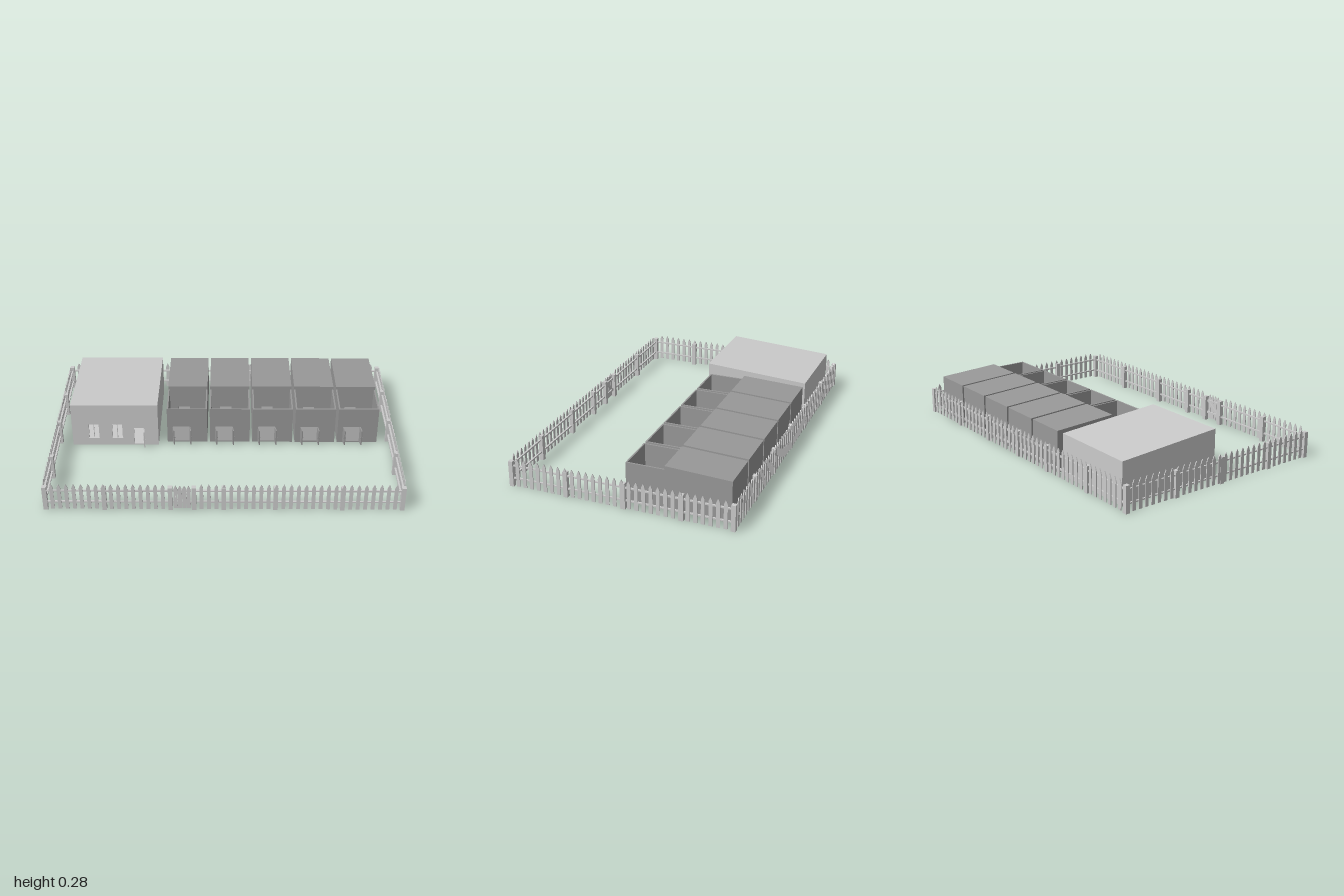
import * as THREE from 'three';

const light = new THREE.MeshStandardMaterial({ color: 0xcccccc });
const dark = new THREE.MeshStandardMaterial({ color: 0x999999 });

function add(parent, name, geo, mat = light) {
  const mesh = new THREE.Mesh(geo, mat);
  mesh.name = name;
  parent.add(mesh);
  return mesh;
}

// Box given by its lower and upper limits
function block(parent, name, x0, x1, y0, y1, z0, z1, mat) {
  const m = add(parent, name, new THREE.BoxGeometry(x1 - x0, y1 - y0, z1 - z0), mat);
  m.position.set((x0 + x1) / 2, (y0 + y1) / 2, (z0 + z1) / 2);
  return m;
}

const polygon = (pts) => new THREE.Shape(pts.map(([x, y]) => new THREE.Vector2(x, y)));
const extrude = (shape, depth) => new THREE.ExtrudeGeometry(shape, { depth, bevelEnabled: false });

// Profile in (z, y), extruded from x0 to x1
function sideProfile(parent, name, pts, x0, x1, mat) {
  const geo = extrude(polygon(pts.map(([z, y]) => [-z, y])), x1 - x0);
  geo.rotateY(Math.PI / 2);
  const m = add(parent, name, geo, mat);
  m.position.x = x0;
  return m;
}

// Upright wall with rectangular openings [x0, x1, y0, y1]; z is its back face
function wall(parent, name, x0, x1, h, z, t, openings, mat) {
  const shape = polygon([[x0, 0], [x1, 0], [x1, h], [x0, h]]);
  for (const [a, b, c, d] of openings) {
    shape.holes.push(new THREE.Path([[a, c], [a, d], [b, d], [b, c]].map(p => new THREE.Vector2(...p))));
  }
  add(parent, name, extrude(shape, t), mat).position.z = z;
}

// Door leaf swung open about its hinge, with a small handle
function door(parent, name, x, z, width, height, angle, mat) {
  const g = new THREE.Group();
  g.name = name;
  block(g, 'doorLeaf', 0, width, 0.008, height, -0.003, 0.003, mat);
  block(g, 'doorHandle', width * 0.8, width * 0.92, height * 0.5, height * 0.56, -0.007, 0.007, mat);
  g.position.set(x, 0, z);
  g.rotation.y = angle;
  parent.add(g);
}

function makeHouse() {
  const g = new THREE.Group();
  g.name = 'house';
  const [x0, x1, z0, z1, t] = [-0.91, -0.395, -0.61, 0.012, 0.012];
  block(g, 'houseFloor', x0, x1, 0, 0.008, z0, z1);
  wall(g, 'houseFrontWall', x0, x1, 0.22, z1 - t, t,
    [[-0.81, -0.75, 0.05, 0.145], [-0.67, -0.61, 0.05, 0.145], [-0.54, -0.482, 0.008, 0.12]]);
  block(g, 'houseBackWall', x0, x1, 0, 0.22, z0, z0 + t);
  block(g, 'houseSideWall', x0, x0 + t, 0, 0.22, z0 + t, z1 - t);
  block(g, 'houseSideWall', x1 - t, x1, 0, 0.22, z0 + t, z1 - t);
  sideProfile(g, 'houseRoof', [[z0, 0.22], [z1, 0.22], [z1, 0.28], [z0, 0.242]], x0, x1);
  // window frames with a mullion
  for (const x of [-0.78, -0.64]) {
    block(g, 'windowMullion', x - 0.002, x + 0.002, 0.05, 0.145, z1 - 0.008, z1 - 0.004);
    block(g, 'windowSill', x - 0.033, x + 0.033, 0.046, 0.05, z1 - 0.006, z1 + 0.003);
  }
  door(g, 'houseDoor', -0.482, z1, 0.045, 0.118, -1.45, light);
  return g;
}

function makeKennel(x) {
  const g = new THREE.Group();
  g.name = 'kennel';
  const [w, z0, zm, z1, h, t] = [0.24, -0.61, -0.24, -0.02, 0.235, 0.009];
  block(g, 'kennelFloor', 0, w, 0, 0.008, z0, z1, dark);
  wall(g, 'kennelFrontWall', 0, w, h, z1 - t, t, [[0.035, 0.135, 0.008, 0.11]], dark);
  wall(g, 'kennelDivider', t, w - t, h, zm - t, t, [[0.06, 0.13, 0.008, 0.11]], dark);
  block(g, 'kennelBackWall', 0, w, 0, h, z0, z0 + t, dark);
  for (const s of [0, w - t]) block(g, 'kennelSideWall', s, s + t, 0, h, z0 + t, z1 - t, dark);
  sideProfile(g, 'kennelRoof', [[z0, h - 0.001], [zm, h - 0.001], [zm, 0.256], [z0, 0.24]], 0, w, dark);
  // pair of doors standing open
  door(g, 'kennelDoor', 0.035, z1, 0.045, 0.108, -1.4, dark);
  door(g, 'kennelDoor', 0.135, z1, 0.045, 0.108, -1.4, dark);
  g.position.x = x;
  return g;
}

// Pointed picket standing in the x-y plane
function picketGeometry(width = 0.021, foot = 0.006, top = 0.173) {
  const h = width / 2;
  return extrude(polygon([[-h, foot], [h, foot], [h, top - 0.025], [h * 0.6, top - 0.013],
    [0, top], [-h * 0.6, top - 0.013], [-h, top - 0.025]]), 0.005);
}

// Straight fence along local x, outside towards local +z
function makeFence(name, half, posts, gap) {
  const g = new THREE.Group();
  g.name = name;
  const spans = gap ? [[-half, gap[0]], [gap[1], half]] : [[-half, half]];
  for (const p of posts) block(g, 'fencePost', p - 0.0125, p + 0.0125, 0, 0.151, -0.0125, 0.0125);
  const picket = picketGeometry();
  for (const [a, b] of spans) {
    for (const y of [0.05, 0.125]) block(g, 'fenceRail', a, b, y - 0.004, y + 0.004, -0.004, 0.006);
    const n = Math.round((b - a) / 0.0413);
    for (let i = 1; i < n; i++) add(g, 'picket', picket).position.set(a + (b - a) * i / n, 0, 0.006);
  }
  return g;
}

// Plank gate with cross bars and a ring handle
function makeGate() {
  const g = new THREE.Group();
  g.name = 'gate';
  const plank = picketGeometry(0.022, 0.012, 0.165);
  for (let i = 0; i < 4; i++) add(g, 'gatePlank', plank).position.set(-0.036 + i * 0.024, 0, 0.006);
  for (const y of [0.05, 0.125]) block(g, 'gateBar', -0.05, 0.05, y - 0.006, y + 0.006, -0.002, 0.006);
  const brace = add(g, 'gateBrace', new THREE.BoxGeometry(0.11, 0.008, 0.006));
  brace.position.set(0, 0.0875, 0.002);
  brace.rotation.z = 0.65;
  const ring = add(g, 'gateHandle', new THREE.TorusGeometry(0.006, 0.0015, 6, 12));
  ring.position.set(-0.036, 0.093, 0.015);
  ring.rotation.y = Math.PI / 2;
  g.position.set(-0.23, 0, 0.627);
  return g;
}

export function createModel() {
  const model = new THREE.Group();
  model.name = 'kennelYard';
  model.add(makeHouse());

  for (let i = 0; i < 5; i++) model.add(makeKennel(-0.343 + i * 0.256));

  // fence around the yard
  const [X, zF, zB] = [0.986, 0.627, -0.643];
  const mid = (zF + zB) / 2, half = (zF - zB) / 2;
  const front = makeFence('frontFence', X, [-X, -0.66, -0.295, -0.165, 0, 0.285, 0.655, X], [-0.295, -0.165]);
  front.position.z = zF;
  const back = makeFence('backFence', X, [0.66, 0.29, 0, -0.325, -0.655]);
  back.position.z = zB;
  back.rotation.y = Math.PI;
  const left = makeFence('leftFence', half, [-0.36, -0.035, 0.3].map(z => mid - z));
  left.position.set(X, 0, mid);
  left.rotation.y = Math.PI / 2;
  const right = makeFence('rightFence', half, [-0.32, -0.01, 0.34].map(z => z - mid));
  right.position.set(-X, 0, mid);
  right.rotation.y = -Math.PI / 2;
  // back corner posts
  for (const x of [-X, X]) block(model, 'fencePost', x - 0.0125, x + 0.0125, 0, 0.151, zB - 0.0125, zB + 0.0125);
  model.add(front, back, left, right, makeGate());
  return model;
}
